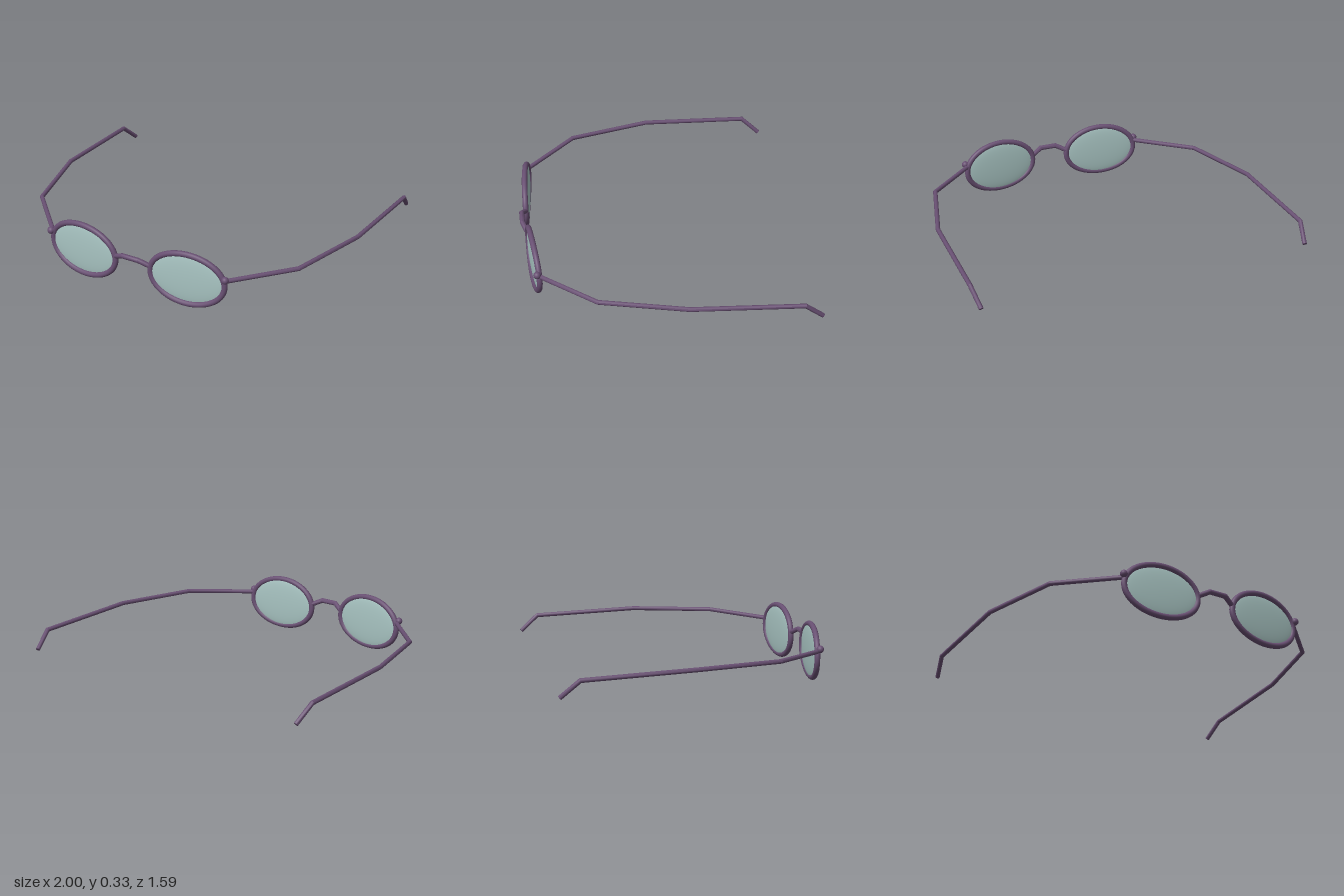
import * as THREE from 'three';
import { toCreasedNormals } from 'three/addons/utils/BufferGeometryUtils.js';

const frameMat = new THREE.MeshStandardMaterial({ color: 0x684f72 });
const lensMat = new THREE.MeshStandardMaterial({ color: 0xa8c4c2 });

const RX = 0.221, RY = 0.151, RIM = 0.0165, BOW = 0.008;

// Oval rim path, bowed slightly forward in the middle
class RimCurve extends THREE.Curve {
  getPoint(t, target = new THREE.Vector3()) {
    const a = t * Math.PI * 2, c = Math.cos(a);
    return target.set(RX * c, RY * Math.sin(a), BOW * (1 - c * c));
  }
}

// Round wire along straight segments with mitred corners and flat ends
function wire(points, radius, sides = 12) {
  const p = points.map(q => new THREE.Vector3(...q));
  const dirs = p.slice(1).map((q, i) => q.clone().sub(p[i]).normalize());
  const u = new THREE.Vector3(0, 1, 0).cross(dirs[0]).normalize();
  const v = dirs[0].clone().cross(u);
  const pos = [], index = [];
  let ring = [];
  for (let j = 0; j < sides; j++) {
    const a = j / sides * Math.PI * 2;
    ring.push(p[0].clone().addScaledVector(u, radius * Math.cos(a)).addScaledVector(v, radius * Math.sin(a)));
  }
  p.forEach((q, i) => {
    if (i > 0) {
      // slide the ring along the segment onto the mitre plane
      const d = dirs[i - 1];
      const n = d.clone().add(dirs[i] ?? d).normalize();
      ring = ring.map(r => r.clone().addScaledVector(d, q.clone().sub(r).dot(n) / d.dot(n)));
    }
    ring.forEach(r => pos.push(r.x, r.y, r.z));
  });
  const last = (p.length - 1) * sides, capA = p.length * sides, capB = capA + 1;
  pos.push(...p[0].toArray(), ...p[p.length - 1].toArray());
  for (let j = 0; j < sides; j++) {
    const k = (j + 1) % sides;
    for (let i = 0; i < last; i += sides) {
      index.push(i + j, i + k, i + sides + k, i + j, i + sides + k, i + sides + j);
    }
    index.push(capA, k, j, capB, last + j, last + k);
  }
  const g = new THREE.BufferGeometry();
  g.setAttribute('position', new THREE.Float32BufferAttribute(pos, 3));
  g.setIndex(index);
  return toCreasedNormals(g, 0.6);
}

function add(parent, name, geometry, material) {
  const mesh = new THREE.Mesh(geometry, material);
  mesh.name = name;
  parent.add(mesh);
  return mesh;
}

export function createModel() {
  const model = new THREE.Group();
  model.name = 'spectacles';

  for (const s of [1, -1]) {
    const side = s > 0 ? 'left' : 'right';

    // Rim and lens, angled back towards the temple
    const eye = new THREE.Group();
    eye.name = side + 'Eyepiece';
    eye.position.set(s * 0.333, 0.168, 0.735);
    eye.rotation.y = s * 0.09;
    model.add(eye);
    add(eye, side + 'Rim', new THREE.TubeGeometry(new RimCurve(), 64, RIM, 14, true), frameMat);
    const lens = add(eye, side + 'Lens', new THREE.SphereGeometry(1, 40, 28), lensMat);
    lens.scale.set(RX, RY, 0.017);
    lens.position.z = 0.001;

    // Hinge bead
    const hinge = add(model, side + 'Hinge', new THREE.SphereGeometry(0.021, 16, 12), frameMat);
    hinge.position.set(s * 0.562, 0.218, 0.728);

    // Temple arm with its bent ear hook
    add(model, side + 'Temple', wire([
      [s * 0.555, 0.204, 0.715],
      [s * 0.845, 0.22, 0.42],
      [s * 0.972, 0.222, -0.06],
      [s * 0.986, 0.195, -0.685],
      [s * 0.962, 0.103, -0.79],
    ], 0.013), frameMat);
  }

  // Raised bridge
  add(model, 'bridge', wire([
    [-0.115, 0.19, 0.754], [-0.05, 0.222, 0.781],
    [0.05, 0.222, 0.781], [0.115, 0.19, 0.754],
  ], 0.0145), frameMat);

  return model;
}
